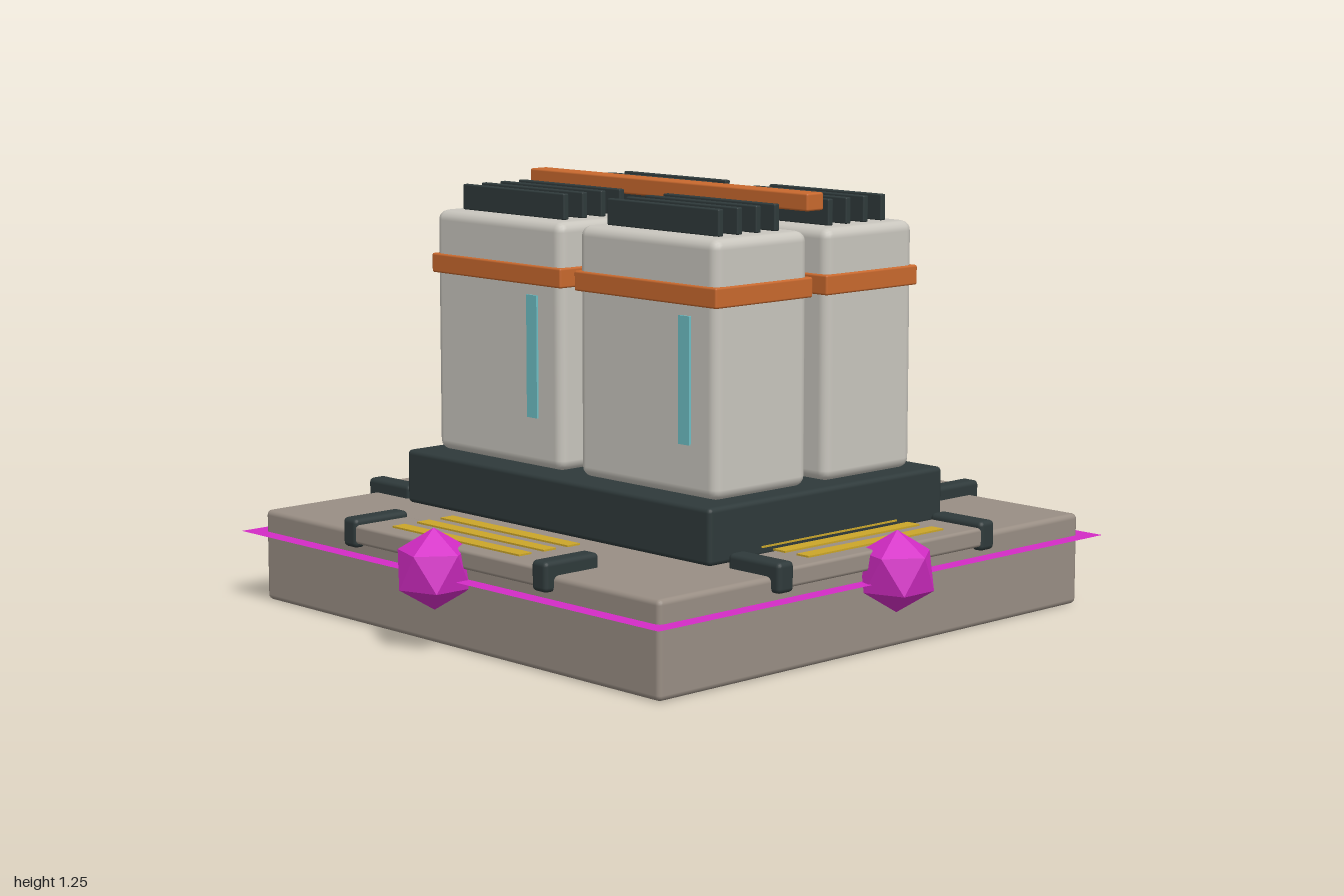
import * as THREE from 'three';
import { RoundedBoxGeometry } from 'three/addons/geometries/RoundedBoxGeometry.js';

const mat = (name, color, extra = {}) => {
  const m = new THREE.MeshStandardMaterial({ color, ...extra });
  m.name = name;
  return m;
};

export function createModel() {
  const model = new THREE.Group();
  model.name = 'capacitorBank';

  const stone = mat('taupe', 0x998e84);
  const shell = mat('paleGrey', 0xc9c6be);
  const dark = mat('darkSlate', 0x2f3a3b);
  const copper = mat('copper', 0xc9692e);
  const teal = mat('teal', 0x6fc0c6);
  const yellow = mat('yellow', 0xcba62a);
  const magenta = mat('magenta', 0xd42cc6, { flatShading: true, side: THREE.DoubleSide });

  const add = (parent, name, geometry, material, x, y, z) => {
    const mesh = new THREE.Mesh(geometry, material);
    mesh.name = name;
    mesh.position.set(x, y, z);
    parent.add(mesh);
    return mesh;
  };
  const rounded = (w, h, d, r) => new RoundedBoxGeometry(w, h, d, 2, r);

  // Base slab, plinth and the thin sheet that rings the slab
  add(model, 'base', rounded(1.69, 0.27, 1.69, 0.016), stone, 0, 0.135, 0);
  add(model, 'plinth', rounded(1.29, 0.16, 0.94, 0.014), dark, 0, 0.35, 0);
  add(model, 'boundarySheet', new THREE.PlaneGeometry(1.79, 1.79).rotateX(-Math.PI / 2), magenta, 0, 0.205, 0);

  // Docking panel on each side: plate, two clamps, three stripes
  const panelGeo = rounded(0.8, 0.055, 0.19, 0.01);
  const clampGeo = rounded(0.06, 0.085, 0.195, 0.014);
  const stripeGeo = new THREE.BoxGeometry(0.545, 0.005, 0.045);
  // Marker has one vertex pointing straight up
  const markerGeo = new THREE.IcosahedronGeometry(0.115, 0).rotateZ(-Math.atan2(0.5257, 0.8507));
  for (let i = 0; i < 4; i++) {
    const angle = i * Math.PI / 2;
    const side = new THREE.Group();
    side.name = 'dockingSide';
    side.rotation.y = angle;
    model.add(side);
    add(side, 'dockPanel', panelGeo, stone, 0, 0.265, 0.775);
    for (const s of [-1, 1]) add(side, 'clamp', clampGeo, dark, s * 0.407, 0.268, 0.777);
    for (const z of [0.626, 0.713, 0.802]) add(side, 'stripe', stripeGeo, yellow, 0, 0.298, z);
    add(model, 'marker', markerGeo, magenta, Math.sin(angle) * 0.897, 0.23, Math.cos(angle) * 0.897);
  }

  // Four towers with band, cooling fins and an outward gauge
  const towerGeo = rounded(0.555, 0.715, 0.36, 0.03);
  const bandGeo = rounded(0.57, 0.057, 0.376, 0.006);
  const finGeo = rounded(0.446, 0.075, 0.02, 0.004);
  const gaugeGeo = new THREE.BoxGeometry(0.044, 0.355, 0.009);
  for (const sx of [-1, 1]) for (const sz of [-1, 1]) {
    const tower = new THREE.Group();
    tower.name = 'tower';
    tower.position.set(sx * 0.314, 0, sz * 0.215);
    model.add(tower);
    add(tower, 'towerShell', towerGeo, shell, 0, 0.7875, 0);
    add(tower, 'towerBand', bandGeo, copper, 0, 0.988, 0);
    for (let f = 0; f < 4; f++) add(tower, 'coolingFin', finGeo, dark, 0, 1.182, (f - 1.5) * 0.072);
    add(tower, 'gauge', gaugeGeo, teal, 0.158, 0.753, sz * 0.182);
  }

  // Bus bar running between the tower rows
  add(model, 'busBar', rounded(1.16, 0.05, 0.066, 0.006), copper, 0, 1.221, 0);

  return model;
}
